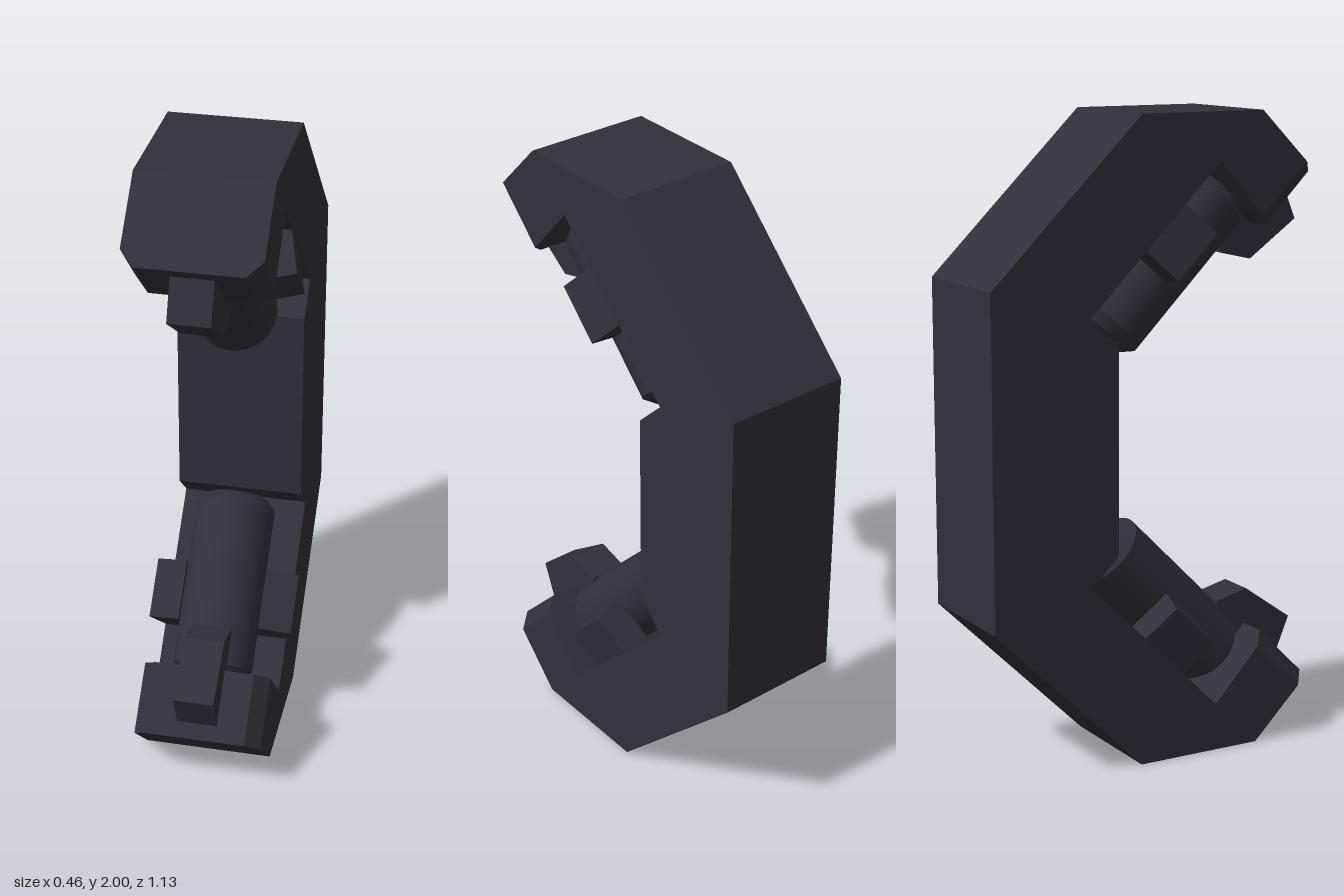
import * as THREE from 'three';
import { toCreasedNormals } from 'three/addons/utils/BufferGeometryUtils.js';

const charcoal = new THREE.MeshStandardMaterial({ color: 0x30303a });
charcoal.name = 'charcoal';

const extrude = (points, depth) => new THREE.ExtrudeGeometry(
  new THREE.Shape(points.map(([a, b]) => new THREE.Vector2(a, b))),
  { depth, bevelEnabled: false });

function add(parent, name, geometry) {
  const mesh = new THREE.Mesh(geometry, charcoal);
  mesh.name = name;
  parent.add(mesh);
  return mesh;
}

// Extrudes a (z, y) side profile across x, centred on x = 0
function sidePlate(parent, name, profile, width) {
  const mesh = add(parent, name, extrude(profile, width));
  mesh.rotation.y = -Math.PI / 2;
  mesh.position.x = width / 2;
  return mesh;
}

// One end of the bracket: chamfered tip, barrel, clips and latch
function createEnd(name) {
  const end = new THREE.Group();
  end.name = name;

  // Tip tapering in at its side corners
  const tip = add(end, 'tip', extrude([[-0.2, 0], [0.2, 0], [0.155, 0.05], [-0.155, 0.05]], 0.222));
  tip.rotation.x = Math.PI / 4;
  tip.position.set(0, 0.317, 0.358);

  // Latch block over the end of the barrel
  sidePlate(end, 'latch',
    [[0.565, 0.35], [0.40, 0.467], [0.29, 0.44], [0.28, 0.33], [0.42, 0.2], [0.51, 0.217]], 0.125);

  // Barrel lying along the slot
  const holder = new THREE.Group();
  holder.name = 'barrelAssembly';
  holder.position.set(0, 0.251, 0.306);
  holder.rotation.x = -Math.PI / 4;
  end.add(holder);
  const r = 0.126, len = 0.589, b = 0.033;
  const profile = [[0, 0], [r - b, 0], [r, b], [r, len - b], [r - b, len], [0, len]]
    .map(([x, y]) => new THREE.Vector2(x, y));
  add(holder, 'barrel', toCreasedNormals(new THREE.LatheGeometry(profile, 32), 0.5));

  // Tilted clips on both sides, rooted in the slot floor
  for (const s of [-1, 1]) {
    const corners = [[0.23, 0.015], [0.19, 0.17], [0.09, 0.15], [0.13, -0.015]];
    const clip = add(holder, s > 0 ? 'leftClip' : 'rightClip',
      extrude(corners.map(([x, v]) => [s * x, v]), 0.19));
    clip.rotation.x = -Math.PI / 2;
    clip.position.y = 0.17;
  }
  return end;
}

export function createModel() {
  const model = new THREE.Group();
  model.name = 'bracket';

  // C-shaped body, its lower half mirrored upward
  const lower = [[-0.146, 0.68], [-0.24, 0.59], [0.204, 0.15], [0.358, 0.317],
    [0.515, 0.161], [0.353, 0], [-0.066, 0], [-0.565, 0.49]];
  const upper = lower.map(([z, y]) => [z, 2 - y]).reverse();
  sidePlate(model, 'body', [...lower, ...upper], 0.4);

  // Same end twice, the upper one turned over
  model.add(createEnd('lowerEnd'));
  const top = createEnd('upperEnd');
  top.rotation.z = Math.PI;
  top.position.y = 2;
  model.add(top);
  return model;
}
